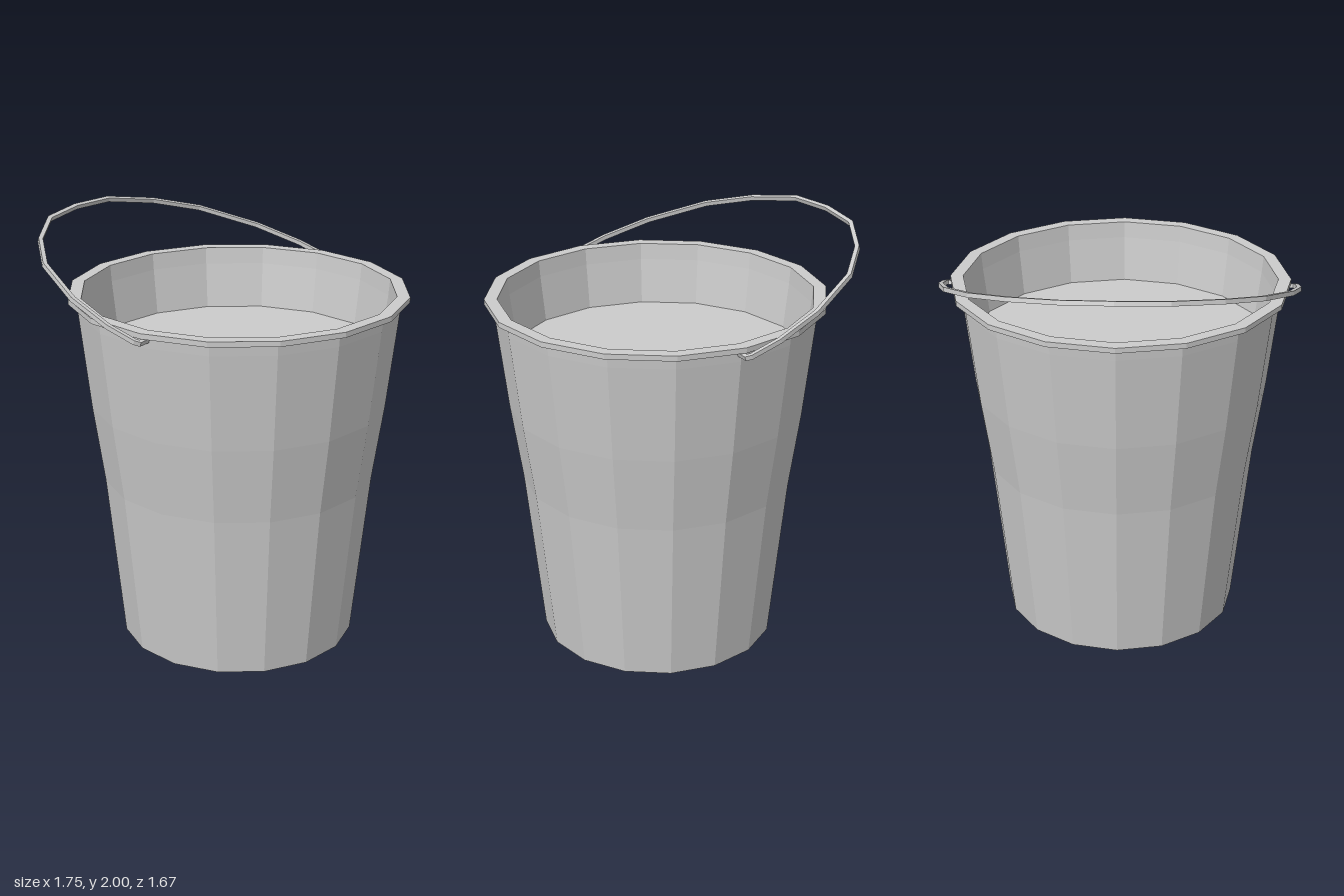
import * as THREE from 'three';

const SIDES = 16;
const CENTRE_X = 0.075;

function material() {
  return new THREE.MeshStandardMaterial({ color: 0xcccccc, flatShading: true });
}

function lathe(name, profile) {
  const points = profile.map(([r, y]) => new THREE.Vector2(r, y));
  const mesh = new THREE.Mesh(new THREE.LatheGeometry(points, SIDES), material());
  mesh.name = name;
  return mesh;
}

// Flat bar of constant width that follows a polyline in the XY plane
function barGeometry(path, width, depth) {
  const outer = [], inner = [];
  path.forEach((p, i) => {
    const before = p.clone().sub(path[Math.max(i - 1, 0)]).normalize();
    const after = path[Math.min(i + 1, path.length - 1)].clone().sub(p).normalize();
    const tangent = before.add(after).normalize();
    const offset = new THREE.Vector2(-tangent.y, tangent.x).multiplyScalar(width / 2);
    outer.push(p.clone().add(offset));
    inner.unshift(p.clone().sub(offset));
  });
  const geometry = new THREE.ExtrudeGeometry(new THREE.Shape([...outer, ...inner]), { depth, bevelEnabled: false });
  return geometry.translate(0, 0, -depth / 2);
}

export function createModel() {
  const model = new THREE.Group();
  model.name = 'bucketWithHandle';

  const bucket = new THREE.Group();
  bucket.name = 'bucket';
  bucket.position.x = CENTRE_X;

  // Tapered outer wall and closed base
  bucket.add(lathe('body', [[0, 0], [0.565, 0], [0.648, 0.81], [0.702, 1.18], [0.755, 1.64], [0.76, 1.695]]));

  // Flat projecting rim, running down into the inner wall
  bucket.add(lathe('rim', [[0.76, 1.695], [0.8, 1.695], [0.8, 1.72], [0.74, 1.72], [0.733, 1.64], [0.705, 1.42]]));

  // Level surface inside the bucket
  bucket.add(lathe('contents', [[0.705, 1.42], [0, 1.42]]));
  model.add(bucket);

  // Half of the handle: sideways distance and distance from the pivot
  const half = [[0.757, 0], [0.815, 0], [0.826, 0.02], [0.826, 0.168], [0.775, 0.404],
    [0.637, 0.678], [0.458, 0.851], [0.235, 0.974]];
  const mirrored = half.map(([s, u]) => [-s, u]).reverse();
  const path = [...half, [0, 0.998], ...mirrored].map(([s, u]) => new THREE.Vector2(s, u));

  // Handle lies tilted over to one side
  const handle = new THREE.Mesh(barGeometry(path, 0.021, 0.021), material());
  handle.name = 'handle';
  const sideways = new THREE.Vector3(0, 0, 1);
  const along = new THREE.Vector3(-0.952, 0.306, 0).normalize();
  const normal = sideways.clone().cross(along);
  handle.quaternion.setFromRotationMatrix(new THREE.Matrix4().makeBasis(sideways, along, normal));
  handle.position.set(0.085, 1.682, 0);
  model.add(handle);

  return model;
}
